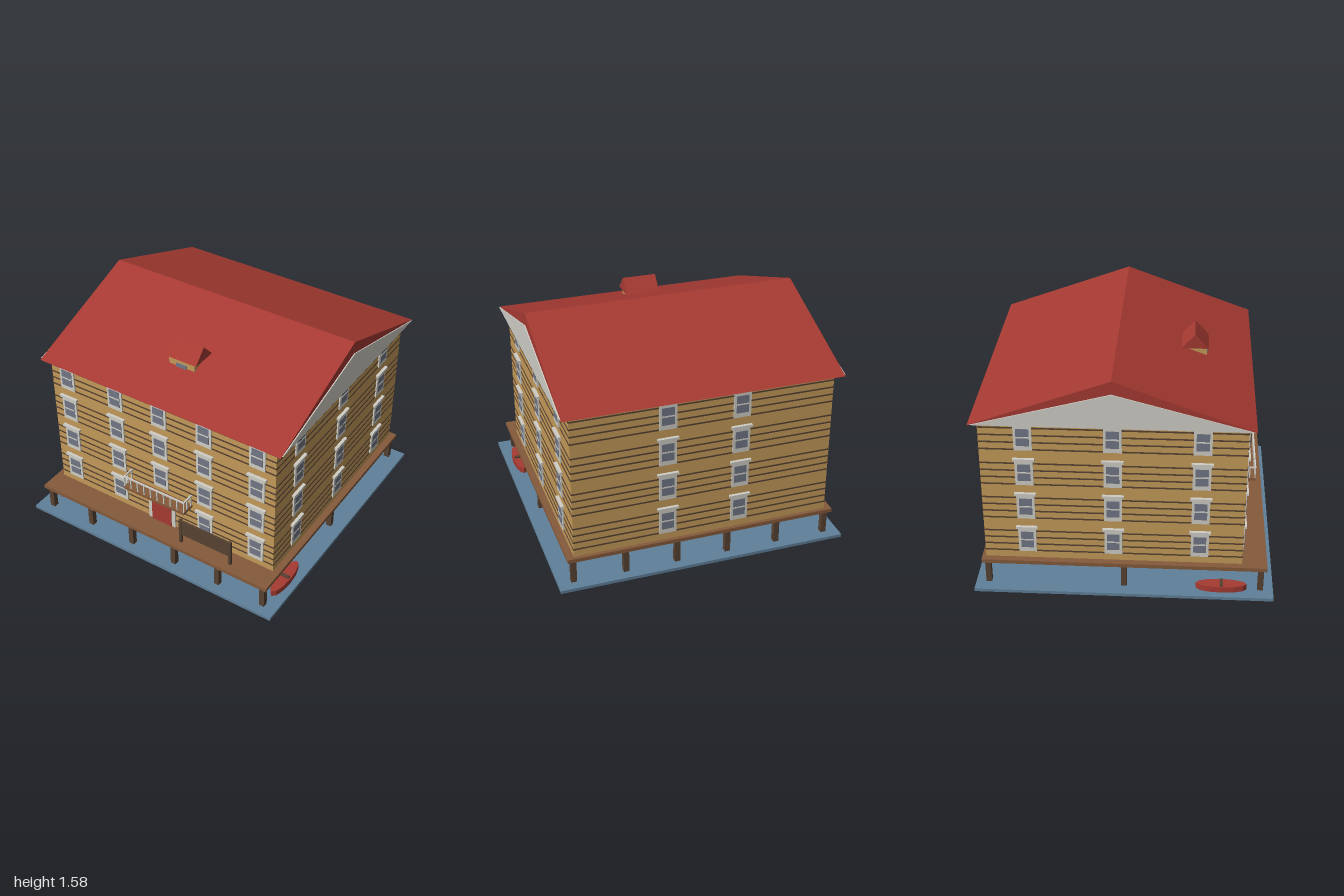
import * as THREE from 'three';

const mat = (name, color) => {
  const m = new THREE.MeshStandardMaterial({ color });
  m.name = name;
  return m;
};
const wall = mat('ochre boards', 0xc49a58);
const groove = mat('dark timber', 0x574232);
const red = mat('red paint', 0xa63a32);
const trim = mat('pale trim', 0xcfcdc5);
const glass = mat('grey glass', 0x717786);
const plank = mat('deck wood', 0x855a3b);
const water = mat('blue water', 0x5f8099);

// Box centred on x and z, standing on height y
function box(parent, name, material, w, h, d, x, y, z) {
  const m = new THREE.Mesh(new THREE.BoxGeometry(w, h, d), material);
  m.name = name;
  m.position.set(x, y + h / 2, z);
  parent.add(m);
  return m;
}

// Triangular prism with its ridge along x
function prism(parent, name, material, length, halfDepth, height, x, y, z) {
  const s = new THREE.Shape([
    new THREE.Vector2(-halfDepth, 0),
    new THREE.Vector2(halfDepth, 0),
    new THREE.Vector2(0, height),
  ]);
  const g = new THREE.ExtrudeGeometry(s, { depth: length, bevelEnabled: false });
  g.translate(0, 0, -length / 2);
  g.rotateY(Math.PI / 2);
  const m = new THREE.Mesh(g, material);
  m.name = name;
  m.position.set(x, y, z);
  parent.add(m);
}

// Sash window facing +z, with its sill at the group's origin
function makeWindow() {
  const g = new THREE.Group();
  g.name = 'window';
  box(g, 'windowFrame', trim, 0.118, 0.183, 0.01, 0, 0, 0.005);
  box(g, 'windowHeader', trim, 0.142, 0.016, 0.022, 0, 0.183, 0.011);
  box(g, 'windowGlass', glass, 0.084, 0.123, 0.003, 0, 0.033, 0.011);
  box(g, 'windowBar', trim, 0.084, 0.01, 0.005, 0, 0.09, 0.012);
  return g;
}

export function createModel() {
  const model = new THREE.Group();
  model.name = 'stiltHouse';

  const halfW = 0.888, frontZ = 0.786, backZ = -0.925, midZ = -0.07;
  const storey = 0.26, deckTop = 0.217;

  // Water, stilts and deck
  box(model, 'water', water, 2, 0.022, 2, 0, 0, 0);
  for (let i = 0; i < 6; i++)
    for (const z of [-0.914, 0, 0.914])
      box(model, 'stilt', groove, 0.038, 0.17, 0.038, -0.893 + i * 0.3572, 0.022, z);
  box(model, 'deck', plank, 1.87, 0.027, 1.904, 0, 0.19, 0);

  // Walls with dark board joints wrapped around them
  const depth = frontZ - backZ;
  box(model, 'walls', wall, halfW * 2, 1.25 - deckTop, depth, 0, deckTop, midZ);
  for (let s = 0; s < 4; s++)
    for (let k = 0; k < 4; k++)
      box(model, 'boardJoint', groove, halfW * 2 + 0.006, 0.01, depth + 0.006,
        0, 0.268 + s * storey + k * 0.052, midZ);

  // Windows on all four sides
  const addWindow = (x, y, z, angle) => {
    const w = makeWindow();
    w.position.set(x, y, z);
    w.rotation.y = angle;
    model.add(w);
  };
  for (let s = 0; s < 4; s++) {
    const y = 0.275 + s * storey - 0.004;
    for (const x of [-0.754, -0.353, 0, 0.353, 0.754])
      if (s > 0 || x !== 0) addWindow(x, y, frontZ, 0);
    for (const x of [-0.25, 0.25]) addWindow(x, y, backZ, Math.PI);
    for (const z of [0.5, midZ, -0.64])
      for (const side of [-1, 1]) addWindow(side * halfW, y, z, side * Math.PI / 2);
  }

  // Front door
  box(model, 'doorFrame', trim, 0.22, 0.255, 0.012, 0, deckTop, frontZ + 0.006);
  box(model, 'door', red, 0.16, 0.238, 0.008, 0, deckTop, frontZ + 0.014);

  // Balcony with railing
  const balcony = new THREE.Group();
  balcony.name = 'balcony';
  model.add(balcony);
  box(balcony, 'balconyFloor', plank, 0.5, 0.018, 0.102, 0, 0.472, frontZ + 0.051);
  box(balcony, 'frontRail', trim, 0.5, 0.01, 0.01, 0, 0.57, 0.88);
  for (let i = 0; i < 10; i++)
    box(balcony, 'baluster', trim, 0.008, 0.08, 0.008, -0.245 + i * 0.49 / 9, 0.49, 0.88);
  for (const side of [-1, 1]) {
    box(balcony, 'sideRail', trim, 0.01, 0.01, 0.1, side * 0.245, 0.57, 0.835);
    for (const z of [0.8, 0.842])
      box(balcony, 'baluster', trim, 0.008, 0.08, 0.008, side * 0.245, 0.49, z);
  }

  // Notice board on the deck
  box(model, 'noticeBoard', groove, 0.4, 0.125, 0.012, 0.417, 0.288, 0.885);
  for (const x of [0.219, 0.615])
    box(model, 'noticePost', groove, 0.02, 0.2, 0.02, x, deckTop, 0.885);

  // Main roof and gable panels
  prism(model, 'roof', red, 1.884, 0.906, 0.33, 0, 1.25, -0.072);
  for (const side of [-1, 1])
    prism(model, 'gable', trim, 0.016, 0.89, 0.238, side * 0.941, 1.254, -0.072);

  // Dormer
  box(model, 'dormerWalls', wall, 0.2, 0.09, 0.16, 0, 1.335, 0.435);
  box(model, 'dormerGlass', glass, 0.084, 0.03, 0.008, 0, 1.36, 0.519);
  prism(model, 'dormerRoof', red, 0.24, 0.093, 0.1, 0, 1.422, 0.434);

  // Boats moored on each side
  for (const side of [-1, 1]) {
    const hull = new THREE.CylinderGeometry(0.17, 0.17, 0.045, 12).toNonIndexed();
    hull.scale(0.047 / 0.17, 1, 1);
    hull.computeVertexNormals();
    const boat = new THREE.Mesh(hull, red);
    boat.name = 'boatHull';
    boat.position.set(side * 0.905, 0.0425, 0.652);
    model.add(boat);
    box(model, 'boatBench', groove, 0.07, 0.012, 0.022, side * 0.905, 0.065, 0.652);
  }

  return model;
}
